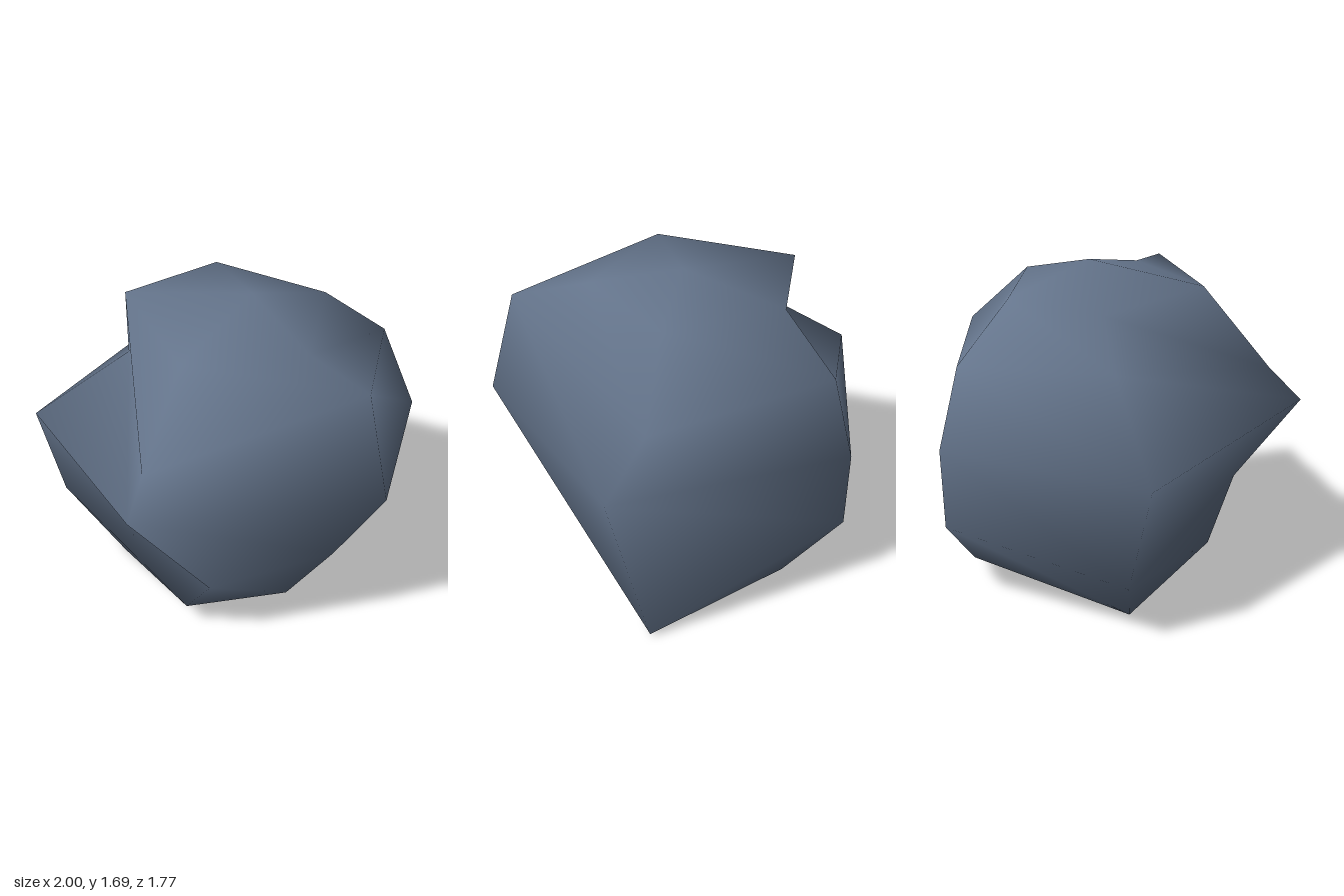
import * as THREE from 'three';

// Rings from top to bottom; each runs left-back, left-front, right-front, right-back, back
const TOP = [0.1, 1.7, 0.04];
const BOTTOM = [0, 0.12, 0];
const RINGS = [
  [[-0.5, 1.59, -0.25], [-0.31, 1.59, 0.47], [0.31, 1.59, 0.47], [0.5, 1.59, -0.1], [0, 1.59, -0.49]],
  [[-0.5, 1.28, -0.18], [-0.53, 1.17, 0.74], [0.54, 1.54, 0.77], [0.86, 1.25, -0.25], [0, 1.29, -0.78]],
  [[-1, 0.87, -0.29], [-0.62, 1.0, 0.88], [0.62, 1.0, 0.88], [1, 0.87, -0.1], [0, 0.87, -0.89]],
  [[-0.87, 0.33, -0.33], [-0.22, 0.46, 0.77], [0.4, 0.61, 0.77], [0.86, 0.03, -0.25], [0, 0.45, -0.87]],
  [[-0.57, 0.01, -0.13], [-0.31, 0.15, 0.54], [0.22, 0.14, 0.5], [0.5, 0.15, -0.12], [0.18, 0.15, -0.62]],
];

// Closed skin over the rings, with a fan at each pole
function ringSkin(rings, top, bottom) {
  const n = rings[0].length;
  const positions = [...rings.flat(2), ...top, ...bottom];
  const topId = rings.length * n;
  const bottomId = topId + 1;
  const id = (row, i) => row * n + (i % n);
  const index = [];
  for (let i = 0; i < n; i++) {
    index.push(topId, id(0, i), id(0, i + 1));
    for (let row = 0; row < rings.length - 1; row++) {
      const a = id(row, i), b = id(row, i + 1);
      const c = id(row + 1, i), d = id(row + 1, i + 1);
      index.push(a, c, d, a, d, b);
    }
    index.push(bottomId, id(rings.length - 1, i + 1), id(rings.length - 1, i));
  }
  const geometry = new THREE.BufferGeometry();
  geometry.setAttribute('position', new THREE.Float32BufferAttribute(positions, 3));
  geometry.setIndex(index);
  geometry.computeVertexNormals();
  return geometry;
}

export function createModel() {
  const group = new THREE.Group();
  group.name = 'rock';

  const slate = new THREE.MeshStandardMaterial({ color: 0x64748b });
  slate.name = 'slate';
  slate.side = THREE.DoubleSide;

  // Boulder body
  const boulder = new THREE.Mesh(ringSkin(RINGS, TOP, BOTTOM), slate);
  boulder.name = 'boulder';
  group.add(boulder);
  return group;
}
